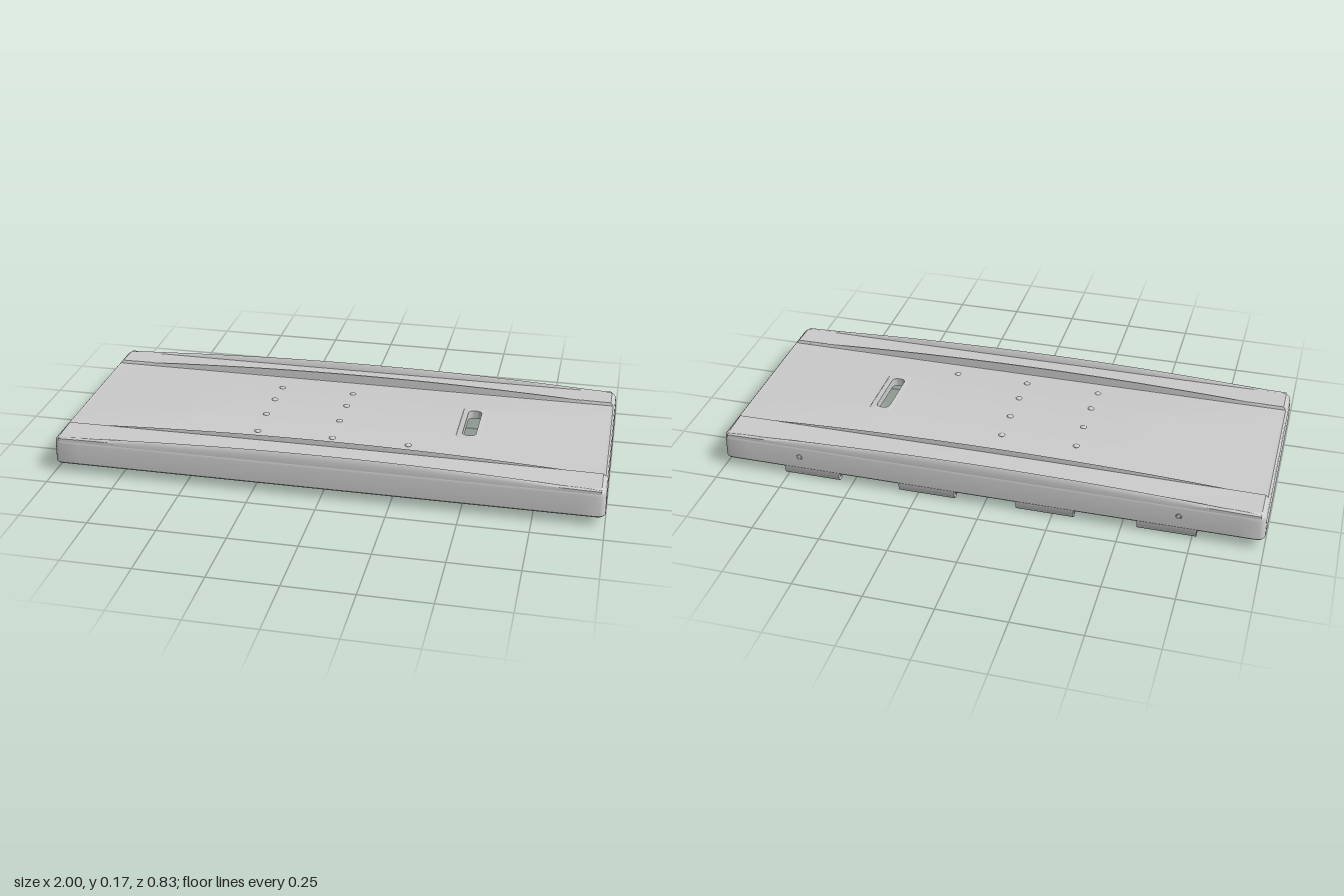
import * as THREE from 'three';
import { toCreasedNormals } from 'three/addons/utils/BufferGeometryUtils.js';

const mat = new THREE.MeshStandardMaterial({ color: 0xcccccc, side: THREE.DoubleSide });
const HALF_X = 1, HALF_Z = 0.415, CORNER = 0.03;
const SLOT = { x: 0.485, z: 0, w: 0.05, d: 0.21 };

// Height of the top: a crowned centre deck between two slightly higher side rails
function topY(x, z) {
  const ax = Math.abs(x), az = Math.abs(z);
  if (az > 0.288) return 0.138 + 0.09 * Math.max(0, 0.395 - az) * (1 - 0.5 * x * x);
  return 0.132 + 0.016 * Math.max(0, Math.min(1, (1 - ax) / 0.5, (0.29 - az) / 0.19));
}

// Surface through a lattice of points; cells may be skipped
function lattice(us, vs, fn, skip = () => false) {
  const pos = [], idx = [], n = vs.length;
  us.forEach(u => vs.forEach(v => pos.push(...fn(u, v))));
  for (let i = 0; i < us.length - 1; i++) for (let j = 0; j < n - 1; j++) {
    if (skip((us[i] + us[i + 1]) / 2, (vs[j] + vs[j + 1]) / 2)) continue;
    const a = i * n + j, b = a + 1, c = a + n, d = c + 1;
    idx.push(a, b, c, b, d, c);
  }
  const g = new THREE.BufferGeometry();
  g.setAttribute('position', new THREE.Float32BufferAttribute(pos, 3));
  g.setIndex(idx);
  g.computeVertexNormals();
  return toCreasedNormals(g, 0.5);
}

// Rounded rectangle in plan, centred on x, z
function plan(cx, cz, w, d, r, Type = THREE.Shape) {
  const s = new Type(), pts = [[1, 1, 0], [-1, 1, 1], [-1, -1, 2], [1, -1, 3]];
  for (const [sx, sy, q] of pts)
    s.absarc(cx + sx * (w / 2 - r), -cz + sy * (d / 2 - r), r, q * Math.PI / 2, (q + 1) * Math.PI / 2, false);
  s.closePath();
  return s;
}

// Plan shape extruded upwards from y0 to y1
function slab(shape, y0, y1) {
  const g = new THREE.ExtrudeGeometry(shape, { depth: y1 - y0, bevelEnabled: false, curveSegments: 8 });
  return g.rotateX(-Math.PI / 2).translate(0, y0, 0);
}

const withHoles = (shape, ...holes) => { shape.holes.push(...holes); return shape; };

const xs = [-0.98, -0.9, -0.8, -0.7, -0.6, -0.5, -0.4, -0.2, 0, 0.2, 0.44, 0.53, 0.6, 0.7, 0.8, 0.9, 0.98];
const zs = [-0.395, -0.34, -0.291, -0.286, -0.2, -0.13, -0.1, 0, 0.1, 0.13, 0.2, 0.286, 0.291, 0.34, 0.395];

// Points round the outline, pulled in by an inset
function outline(inset) {
  const cx = HALF_X - CORNER, cz = HALF_Z - CORNER, r = CORNER - inset, out = [];
  const corner = (sx, sz, start) => {
    for (let k = 0; k <= 5; k++) {
      const a = start + k * Math.PI / 10;
      out.push([sx * cx + r * Math.cos(a), sz * cz + r * Math.sin(a)]);
    }
  };
  const ix = xs.filter(x => Math.abs(x) < cx), iz = zs.filter(z => Math.abs(z) < cz);
  corner(1, 1, 0);
  [...ix].reverse().forEach(x => out.push([x, cz + r]));
  corner(-1, 1, Math.PI / 2);
  [...iz].reverse().forEach(z => out.push([-cx - r, z]));
  corner(-1, -1, Math.PI);
  ix.forEach(x => out.push([x, -cz - r]));
  corner(1, -1, 1.5 * Math.PI);
  iz.forEach(z => out.push([cx + r, z]));
  out.push(out[0]);
  return out;
}

export function createModel() {
  const root = new THREE.Group();
  const add = (name, geo, parent = root) => {
    const m = new THREE.Mesh(geo, mat);
    m.name = name;
    parent.add(m);
    return m;
  };
  const group = name => { const g = new THREE.Group(); g.name = name; root.add(g); return g; };

  // Skirt: inner rim, lower edge, outer wall and rounded shoulder
  const section = [[0.025, 0.06], [0.025, 0.035], [0.004, 0.035], [0, 0.04], [0.002, 0.115],
    [0.005, 0.126], [0.011, 0.133], [0.02, null]];
  const loops = section.map(([inset]) => outline(inset));
  add('skirt', lattice([...section.keys()], [...loops[0].keys()], (i, j) => {
    const [x, z] = loops[i][j];
    return [x, section[i][1] ?? topY(x, z), z];
  }));

  // Crowned top with an opening filled by a slotted patch
  add('topDeck', lattice(xs, zs, (x, z) => [x, topY(x, z), z],
    (x, z) => x > 0.44 && x < 0.53 && Math.abs(z) < 0.13));
  const slotHole = () => plan(SLOT.x, SLOT.z, SLOT.w, SLOT.d, 0.02, THREE.Path);
  const patch = new THREE.ShapeGeometry(withHoles(plan(SLOT.x, 0, 0.09, 0.26, 0.0005), slotHole()), 8);
  patch.rotateX(-Math.PI / 2);
  const p = patch.attributes.position;
  for (let i = 0; i < p.count; i++) p.setY(i, topY(p.getX(i), p.getZ(i)));
  patch.computeVertexNormals();
  add('slotSurround', patch);
  add('slotWall', slab(withHoles(plan(SLOT.x, 0, SLOT.w + 0.012, SLOT.d + 0.012, 0.025), slotHole()), 0.115, 0.1465));

  // Arched lips along both edges of each rail: offsets across, share of the rise
  const lips = group('archedLips');
  const lipXs = Array.from({ length: 33 }, (_, i) => -0.98 + i * 0.06125);
  const lip = (name, side, profile, base, rise) => add(name, lattice(lipXs, [...profile.keys()], (x, k) => {
    const [z, t] = profile[k];
    return [x, base + (t < 0 ? -0.01 : t * rise * (1 - (x / 0.98) ** 2)), side * z];
  }), lips);
  for (const side of [1, -1]) {
    lip('outerLip', side, [[0.412, -1], [0.411, 0.25], [0.407, 0.8], [0.403, 1], [0.399, 0.85], [0.393, 0.2], [0.389, -1]], 0.134, 0.031);
    lip('innerLip', side, [[0.296, -1], [0.294, 0.6], [0.292, 1], [0.29, 0.95], [0.288, 0.4], [0.286, -1]], 0.136, 0.031);
  }

  // Underside panel with a sloped pocket
  const cz = 0.025;
  add('bottomPanel', slab(withHoles(plan(0, 0, 1.96, 0.79, 0.01), plan(0, cz, 1.28, 0.49, 0.01, THREE.Path)), 0.06, 0.064));
  add('pocketFloor', slab(withHoles(plan(0, cz, 1.22, 0.44, 0.005), slotHole()), 0.115, 0.119));
  const corners = [[1, 1], [-1, 1], [-1, -1], [1, -1], [1, 1]];
  add('pocketWalls', lattice([0, 1], [0, 1, 2, 3, 4], (u, k) => [
    corners[k][0] * (0.64 - 0.03 * u), 0.06 + 0.055 * u, cz + corners[k][1] * (0.245 - 0.025 * u)]));

  // Low ribs framing the underside, a rear vent and two latch plates
  const ribs = group('undersideRibs');
  const frame = (name, x, z, w, d, t) =>
    add(name, slab(withHoles(plan(x, z, w, d, 0.015), plan(x, z, w - 2 * t, d - 2 * t, 0.006, THREE.Path)), 0.056, 0.061), ribs);
  frame('outerRib', 0, 0, 1.82, 0.7, 0.008);
  frame('pocketRib', 0, cz, 1.36, 0.56, 0.008);
  frame('rearVent', -0.03, -0.3, 0.19, 0.04, 0.008);
  for (const x of [-0.8, 0.8]) frame('latchPlate', x, -0.05, 0.04, 0.07, 0.008);

  // Bolts: a full grid below, some showing through the top
  const bolts = group('bolts');
  for (const x of [-0.56, -0.28, 0, 0.28]) for (const z of [-0.165, -0.045, 0.085, 0.21]) {
    const head = add('boltHead', new THREE.SphereGeometry(0.019, 16, 8), bolts);
    head.position.set(x, 0.115, z);
    head.scale.y = 0.5;
    if (x === -0.28 || x === 0 || (x === 0.28 && z === 0.21)) {
      const tip = add('boltTip', new THREE.SphereGeometry(0.012, 16, 8), bolts);
      tip.position.set(x, topY(x, z), z);
      tip.scale.y = 0.5;
    }
  }

  // Hinge knuckles along the back, each bored for a pin
  const knuckle = new THREE.Shape();
  knuckle.moveTo(0.413, 0.045);
  knuckle.lineTo(0.373, 0.045);
  knuckle.lineTo(0.373, 0.02);
  knuckle.absarc(0.393, 0.02, 0.02, Math.PI, 2 * Math.PI, false);
  knuckle.closePath();
  knuckle.holes.push(new THREE.Path().absarc(0.393, 0.018, 0.006, 0, 2 * Math.PI, true));
  const knuckleGeo = toCreasedNormals(
    new THREE.ExtrudeGeometry(knuckle, { depth: 0.21, bevelEnabled: false, curveSegments: 12 }), 0.5);
  knuckleGeo.rotateY(Math.PI / 2);
  const hinges = group('hinges');
  for (const x of [-0.765, -0.328, 0.11, 0.55]) add('hingeKnuckle', knuckleGeo, hinges).position.x = x;

  // Small screws in the back wall
  for (const x of [-0.7, 0.7]) {
    const ring = add('backScrew', new THREE.TorusGeometry(0.009, 0.002, 6, 20));
    ring.position.set(x, 0.085, -0.414);
  }
  return root;
}
